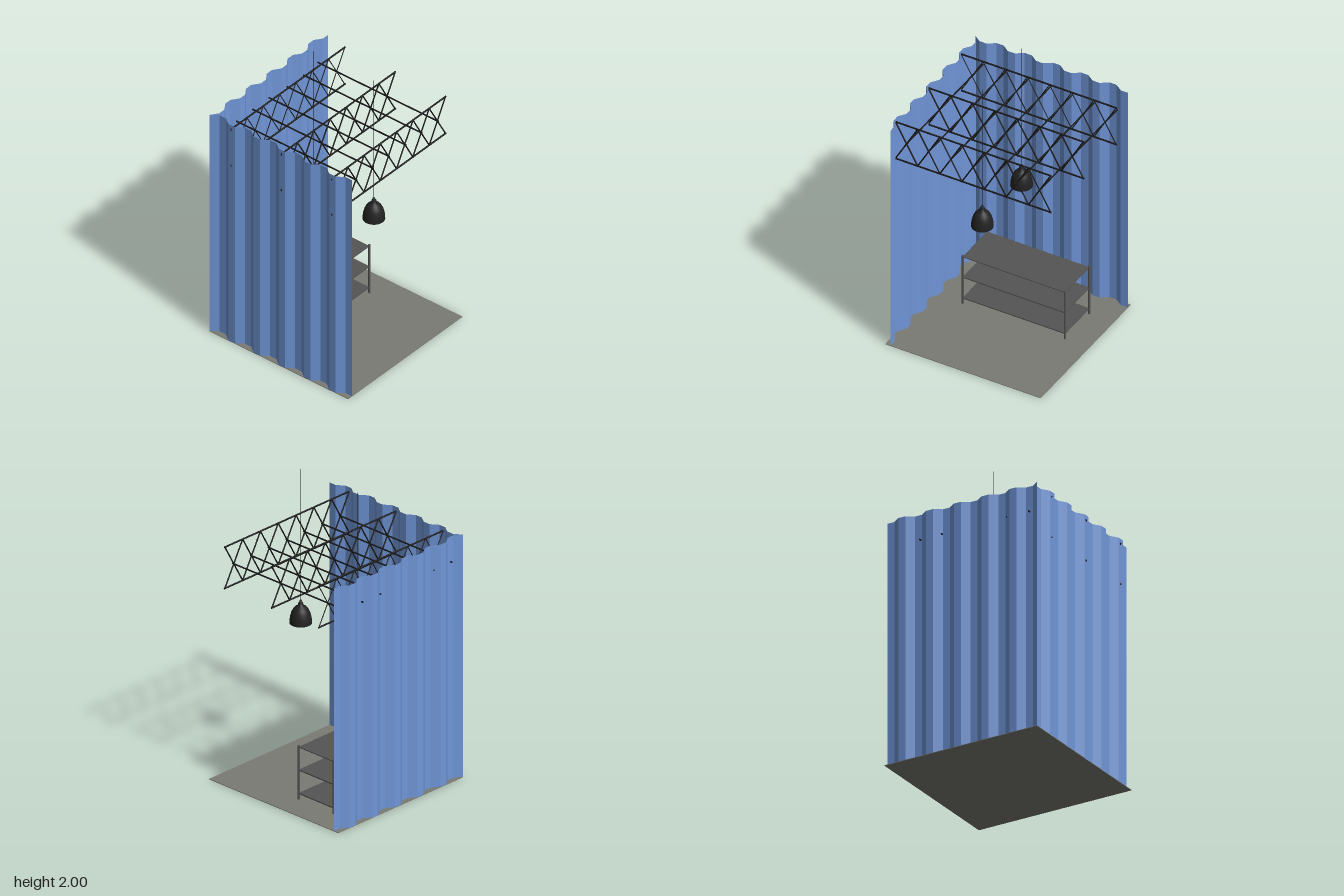
import * as THREE from 'three';

const mat = (name, color, side = THREE.FrontSide) => {
  const m = new THREE.MeshStandardMaterial({ color, side });
  m.name = name;
  return m;
};

export function createModel() {
  const wallBlue = mat('wall blue', 0x7096d8, THREE.DoubleSide);
  const concrete = mat('concrete', 0x7b7b75);
  const steel = mat('shelf grey', 0x555555);
  const black = mat('truss black', 0x191919);
  const lampBlack = mat('lamp black', 0x212121, THREE.DoubleSide);

  const root = new THREE.Group();
  const group = (name, parent = root) => {
    const g = new THREE.Group();
    g.name = name;
    parent.add(g);
    return g;
  };
  const add = (parent, name, geometry, material, x = 0, y = 0, z = 0) => {
    const m = new THREE.Mesh(geometry, material);
    m.name = name;
    m.position.set(x, y, z);
    parent.add(m);
    return m;
  };
  // Round bar between two points
  const bar = (parent, name, a, b, r, material, sides = 8) => {
    const p = new THREE.Vector3(...a), q = new THREE.Vector3(...b);
    const d = q.clone().sub(p);
    const m = add(parent, name, new THREE.CylinderGeometry(r, r, d.length(), sides), material);
    m.position.copy(p).add(q).multiplyScalar(0.5);
    m.quaternion.setFromUnitVectors(new THREE.Vector3(0, 1, 0), d.normalize());
    return m;
  };

  // Floor slab
  add(root, 'floor', new THREE.BoxGeometry(1.1, 0.004, 1.1), concrete, 0, 0.002, 0);

  // Corrugated sheet: along the side to the back corner, then across the back
  const H = 1.65, STEP = 0.05, RIB = 0.035;
  const sheet = new THREE.PlaneGeometry(1, H, 44, 1);
  const pos = sheet.attributes.position;
  for (let i = 0; i < pos.count; i++) {
    const m = i % 45, k = m - 22;
    const y = pos.getY(i) + H / 2;
    if (k <= 0) {
      pos.setXYZ(i, -0.55 + (m % 4 < 2 ? RIB : 0), y, 0.55 - STEP * m);
    } else {
      pos.setXYZ(i, -0.55 + STEP * k, y, -0.55 + ((k + 3) % 4 < 2 ? RIB : 0));
    }
  }
  const wall = sheet.toNonIndexed();
  wall.computeVertexNormals();
  add(root, 'corrugatedWalls', wall, wallBlue);

  // Roof trusses: two chords joined by seven crosses
  const TOP = 1.62, BOTTOM = 1.34, MID = 1.48, BAY = 0.157, X0 = -0.004;
  for (const [z, r] of [[0.42, 0.0045], [0.02, 0.0045], [-0.38, 0.003]]) {
    const truss = group('roofTruss');
    for (const y of [TOP, BOTTOM]) {
      bar(truss, 'chord', [-0.55, y, z], [0.55, y, z], 0.0055, black);
    }
    for (let i = -3; i <= 3; i++) {
      const a = X0 + (i - 0.5) * BAY, b = a + BAY;
      bar(truss, 'brace', [a, BOTTOM, z], [b, TOP, z], r, black);
      bar(truss, 'brace', [a, TOP, z], [b, BOTTOM, z], r, black);
    }
  }

  // Long rods through the centres of the crosses
  const rods = group('purlins');
  for (let i = -3; i <= 3; i++) {
    const x = X0 + i * BAY;
    bar(rods, 'purlin', [x, MID, 0.43], [x, MID, -0.53], 0.005, black);
  }

  // Pendant lamps
  const profile = [
    [0.07, 0.955], [0.069, 0.975], [0.066, 0.998], [0.059, 1.025], [0.048, 1.048],
    [0.034, 1.064], [0.016, 1.074], [0.015, 1.092], [0.009, 1.096], [0.008, 1.108], [0, 1.112],
  ].map(([r, y]) => new THREE.Vector2(r, y));
  for (const z of [0.305, -0.175]) {
    const lamp = group('pendantLamp');
    lamp.position.set(-0.005, 0, z);
    add(lamp, 'shade', new THREE.LatheGeometry(profile, 32), lampBlack);
    bar(lamp, 'cable', [0, 1.1, 0], [0, 2, 0], 0.0018, black, 6);
  }

  // Shelving rack
  const rack = group('shelvingRack');
  rack.position.set(0.015, 0, -0.194);
  for (const x of [-0.362, 0.362]) {
    for (const z of [-0.148, 0.148]) {
      bar(rack, 'post', [x, 0, z], [x, 0.37, z], 0.007, steel, 12);
    }
  }
  for (const [y, t] of [[0.043, 0.008], [0.202, 0.008], [0.358, 0.006]]) {
    add(rack, 'shelf', new THREE.BoxGeometry(0.724, t, 0.296), steel, 0, y, 0);
  }

  return root;
}
